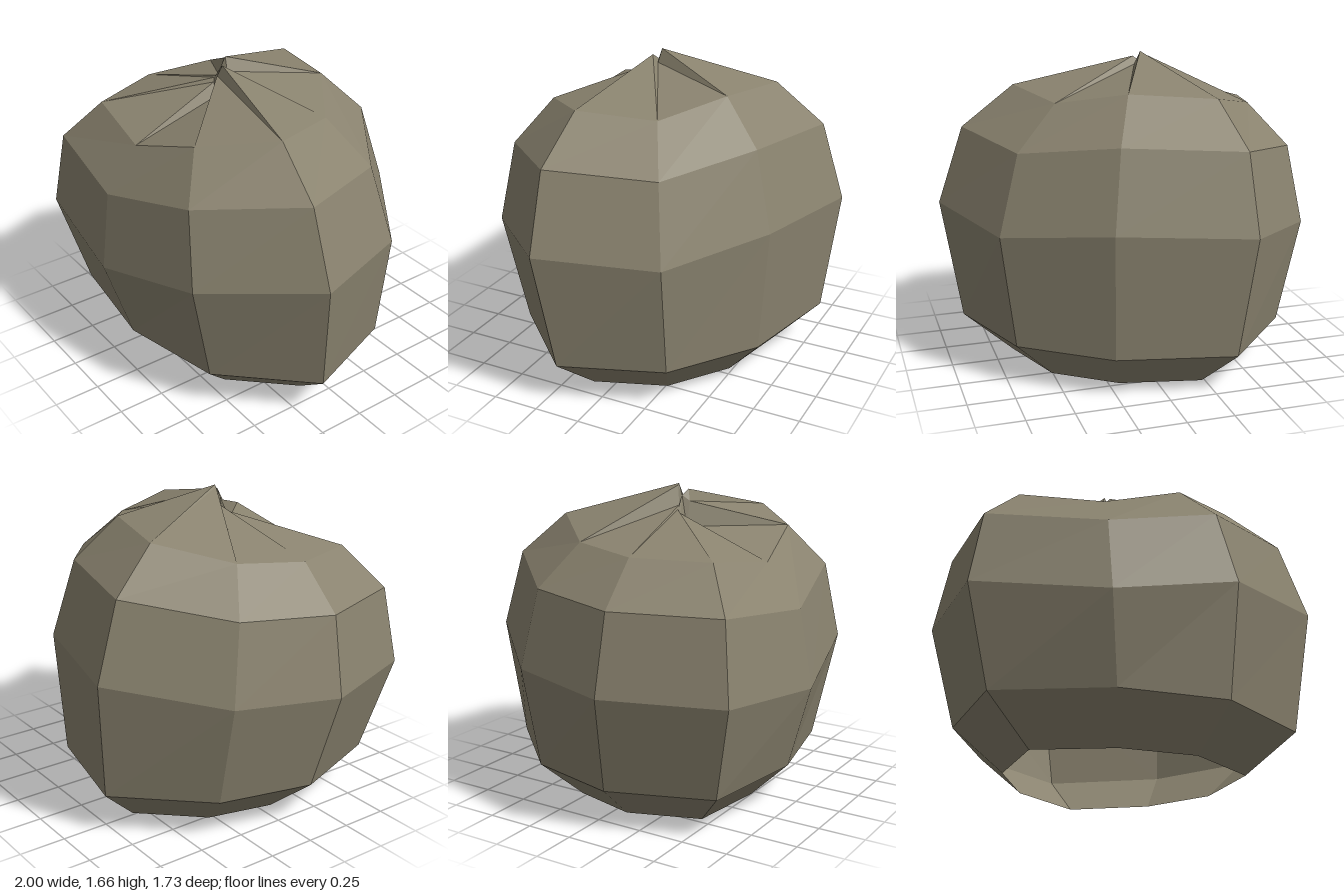
import * as THREE from 'three';

// Widest outline of the body, counter-clockwise seen from above, from the front
const OUTLINE = [
  [-0.09, 0.67, 0.86], [0.54, 0.80, 0.72], [1.0, 0.86, 0.24],
  [0.78, 0.82, -0.36], [0.28, 0.89, -0.72], [-0.41, 0.86, -0.87],
  [-0.86, 0.77, -0.39], [-1.0, 0.74, 0.17], [-0.78, 0.73, 0.77],
];
const N = OUTLINE.length;

// Gathered tips: tip i closes the panel between outline corners i and i + 1
const TIPS = [
  [-0.11, 1.44, 0.13], [-0.08, 1.57, 0.13], [-0.06, 1.63, 0.11],
  [-0.06, 1.59, 0.08], [-0.09, 1.66, 0.07], [-0.10, 1.65, 0.07],
  [-0.12, 1.55, 0.09], [-0.15, 1.53, 0.10], [-0.14, 1.51, 0.11],
];

// Scaled and shifted copy of the outline, with a rule for its height
const ring = (scale, dx, dz, height) =>
  OUTLINE.map(([x, y, z]) => [x * scale + dx, height(y), z * scale + dz]);

function facetedMesh(name, triangles, material) {
  const geometry = new THREE.BufferGeometry();
  geometry.setAttribute('position', new THREE.Float32BufferAttribute(triangles.flat(2), 3));
  geometry.computeVertexNormals();
  const mesh = new THREE.Mesh(geometry, material);
  mesh.name = name;
  return mesh;
}

export function createModel() {
  const group = new THREE.Group();
  group.name = 'gatheredSack';
  const cloth = new THREE.MeshStandardMaterial({
    name: 'dullKhaki', color: 0x8a836f, flatShading: true, side: THREE.DoubleSide,
  });

  // Body: faceted bands from the open base up to the shoulder
  const rings = [
    ring(0.62, 0.02, -0.035, () => 0),
    ring(0.883, 0.02, -0.035, () => 0.22),
    ring(1, 0, 0, (y) => y),
    ring(0.89, -0.03, 0.03, (y) => y + 0.41),
    ring(0.64, -0.06, 0.06, (y) => y + 0.63),
  ];
  const body = [];
  for (let r = 0; r < rings.length - 1; r++) {
    for (let i = 0; i < N; i++) {
      const j = (i + 1) % N;
      const [a, b, c, d] = [rings[r][i], rings[r][j], rings[r + 1][j], rings[r + 1][i]];
      body.push([a, b, c], [a, c, d]);
    }
  }
  group.add(facetedMesh('body', body, cloth));

  // Gathered top: a panel per side, a narrow fold per corner, a small closing knot
  const shoulder = rings[rings.length - 1];
  const panels = [], folds = [], knot = [];
  const centre = [-0.1, 1.6, 0.095];
  for (let i = 0; i < N; i++) {
    const j = (i + 1) % N;
    panels.push([shoulder[i], shoulder[j], TIPS[i]]);
    folds.push([shoulder[j], TIPS[j], TIPS[i]]);
    knot.push([TIPS[i], TIPS[j], centre]);
  }
  group.add(facetedMesh('topPanels', panels, cloth));
  group.add(facetedMesh('topFolds', folds, cloth));
  group.add(facetedMesh('topKnot', knot, cloth));
  return group;
}
